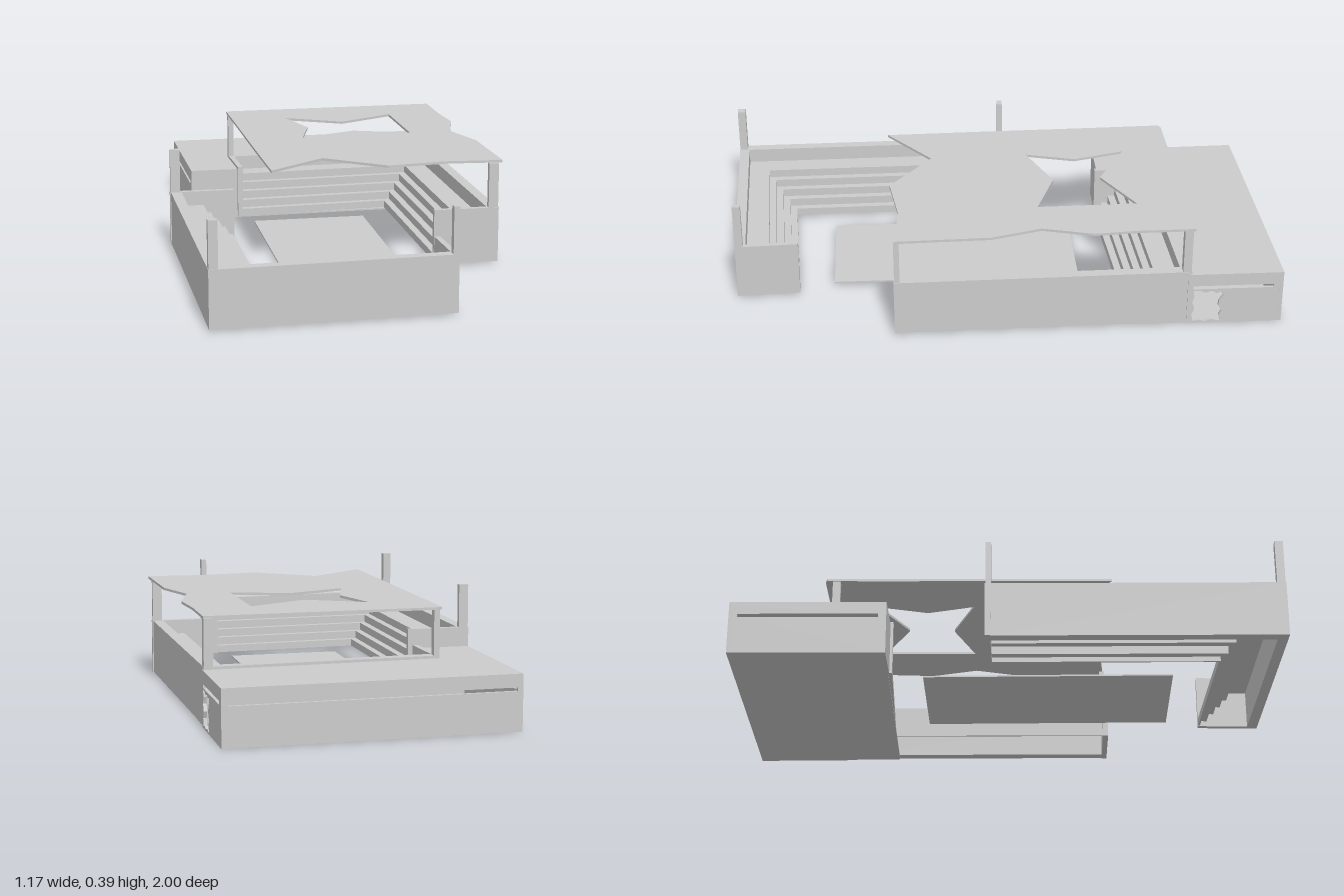
import * as THREE from 'three';

const mat = new THREE.MeshStandardMaterial({ color: 0xcccccc, flatShading: true, side: THREE.DoubleSide });

function add(parent, name, geometry) {
  const mesh = new THREE.Mesh(geometry, mat);
  mesh.name = name;
  parent.add(mesh);
  return mesh;
}

// horizontal plate from an [x, z] outline, between heights y0 and y1
function slab(outline, y0, y1, hole) {
  const toVec = ([x, z]) => new THREE.Vector2(x, -z);
  const shape = new THREE.Shape(outline.map(toVec));
  if (hole) shape.holes.push(new THREE.Path(hole.map(toVec)));
  return new THREE.ExtrudeGeometry(shape, { depth: y1 - y0, bevelEnabled: false })
    .rotateX(-Math.PI / 2).translate(0, y0, 0);
}

// upright wall from p to q ([x, z]) with holes given as [along, y] outlines
function wall(p, q, height, holes) {
  const dx = q[0] - p[0], dz = q[1] - p[1], len = Math.hypot(dx, dz);
  const toVec = ([u, y]) => new THREE.Vector2(u, y);
  const shape = new THREE.Shape([[0, 0], [len, 0], [len, height], [0, height]].map(toVec));
  for (const h of holes) shape.holes.push(new THREE.Path(h.map(toVec)));
  return new THREE.ExtrudeGeometry(shape, { depth: 0.012, bevelEnabled: false })
    .rotateY(-Math.atan2(dz, dx)).translate(p[0], 0, p[1]);
}

const rect = (a, b, c, d) => [[a, c], [b, c], [b, d], [a, d]];

// stepped cross-section: t runs from the outer wall (0) to the inner edge (1)
function stepProfile() {
  const top = [[0, 0.005], [0, 0.21], [0.17, 0.21], [0.17, 0.156]];
  const under = [];
  let y = 0.156;
  for (let i = 0; i < 5; i++) {
    const t = 0.53 + i * 0.1175;
    top.push([t, y], [t, i < 4 ? y - 0.03 : 0.008]);
    under.push([t - 0.03, y - 0.01], [t - 0.03, i < 4 ? y - 0.04 : 0.008]);
    y -= 0.03;
  }
  return [...top, ...under.reverse(), [0.17, 0.146], [0.17, 0.005]];
}

// sweep the profile round the L between its outer and inner lines
function steppedShell() {
  const outer = [[-0.585, -0.055], [-0.573, 1.0], [0.268, 0.972]];
  const inner = [[-0.352, -0.055], [-0.343, 0.772], [0.258, 0.742]];
  const profile = stepProfile();
  const at = (i, j) => {
    const [t, y] = profile[j % profile.length];
    return [
      outer[i][0] + (inner[i][0] - outer[i][0]) * t, y,
      outer[i][1] + (inner[i][1] - outer[i][1]) * t,
    ];
  };
  const pos = [];
  for (let i = 0; i < 2; i++) {
    for (let j = 0; j < profile.length; j++) {
      const a = at(i, j), b = at(i + 1, j), c = at(i + 1, j + 1), d = at(i, j + 1);
      pos.push(...a, ...b, ...c, ...a, ...c, ...d);
    }
  }
  const g = new THREE.BufferGeometry();
  g.setAttribute('position', new THREE.Float32BufferAttribute(pos, 3));
  g.computeVertexNormals();
  return g;
}

function createStand(name) {
  const stand = new THREE.Group();
  stand.name = name;
  add(stand, 'steppedSeating', steppedShell());
  add(stand, 'sideEndWall', slab(rect(-0.588, -0.345, -0.064, -0.044), 0.005, 0.21));
  add(stand, 'frontEndWall', slab([[0.254, 0.972], [0.274, 0.972], [0.264, 0.742], [0.244, 0.742]], 0.005, 0.21));
  // posts at the corner and at both ends
  add(stand, 'sidePost', slab(rect(-0.586, -0.55, -0.062, -0.042), 0.2, 0.375));
  add(stand, 'cornerPost', slab(rect(-0.572, -0.54, 0.968, 0.998), 0.2, 0.375));
  add(stand, 'frontPost', slab(rect(0.253, 0.274, 0.942, 0.971), 0.2, 0.375));
  return stand;
}

// hollow block with slit windows and a ragged doorway
function createBlock() {
  const block = new THREE.Group();
  block.name = 'rearBlock';
  const backR = [-0.475, -0.985], backL = [0.562, -1], sideL = [0.562, -0.655];
  const frontL = [-0.28, -0.42], frontR = [-0.465, -0.42];
  const slit = (a, b) => rect(a, b, 0.14, 0.153);
  const doorway = [
    [0.222, 0.006], [0.228, 0.03], [0.219, 0.05], [0.232, 0.07], [0.23, 0.09], [0.215, 0.112],
    [0.219, 0.13], [0.24, 0.122], [0.258, 0.132], [0.28, 0.125], [0.3, 0.134], [0.324, 0.133],
    [0.32, 0.11], [0.327, 0.085], [0.318, 0.06], [0.328, 0.035], [0.322, 0.008], [0.3, 0.013],
    [0.28, 0.006], [0.255, 0.014],
  ];
  add(block, 'backWall', wall(backR, backL, 0.19, [slit(0.02, 1.015)]));
  add(block, 'leftWall', wall(backL, sideL, 0.19, [slit(0.035, 0.325), doorway]));
  add(block, 'frontWall', wall(frontL, frontR, 0.19, []));
  add(block, 'rightWall', wall(frontR, backR, 0.19, [slit(0.03, 0.535)]));
  add(block, 'blockTop', slab([backR, backL, sideL, [-0.285, -0.635], frontL, frontR], 0.19, 0.2));
  add(block, 'blockBase', slab([backR, backL, [0.555, -0.44], frontR], 0, 0.006));
  return block;
}

export function createModel() {
  const model = new THREE.Group();
  model.name = 'pavilion';

  // two identical L-shaped stands facing each other
  model.add(createStand('frontStand'));
  const rear = createStand('rearStand');
  rear.rotation.y = Math.PI;
  rear.position.set(-0.015, 0, 0.332);
  model.add(rear);

  model.add(createBlock());
  add(model, 'stageFloor', slab(rect(-0.23, 0.21, -0.3, 0.615), 0.008, 0.014));

  // thin canopy with a zigzag outline and a star-like opening
  const edge = [
    [-0.29, -0.66], [-0.27, -0.667], [0.56, -0.673], [0.56, -0.47], [0.572, -0.31], [0.522, -0.13],
    [0.577, 0.05], [0.585, 0.39], [0.375, 0.373], [0.157, 0.4], [-0.055, 0.24], [-0.27, 0.4],
    [-0.277, 0.05], [-0.285, -0.45],
  ];
  const opening = [
    [-0.07, -0.49], [0.14, -0.38], [0.355, -0.49], [0.36, -0.13], [0.15, -0.205], [-0.065, -0.12], [-0.015, -0.3],
  ];
  add(model, 'canopy', slab(edge, 0.377, 0.386, opening));
  return model;
}
